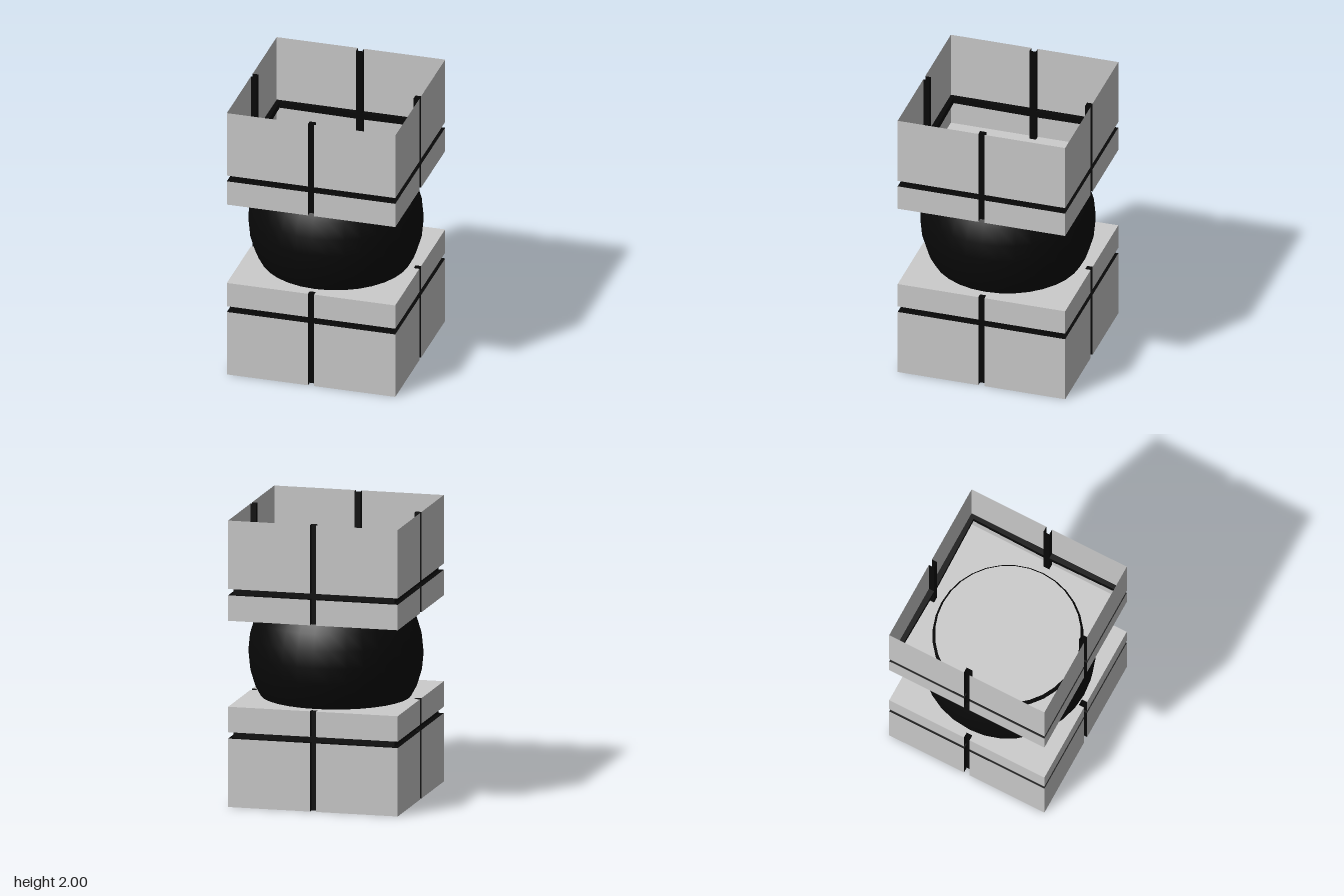
import * as THREE from 'three';

const H = 0.6;      // half width of a cup
const W = 0.022;    // half width of the grooves
const CORNER = 0.57, MID = 0.56; // groove floor at the corners and mid-side
const PLATE = 0.3, SEAM = 0.5, RIM = 1; // heights above the ball's centre

const grey = new THREE.MeshStandardMaterial({ color: 0xcccccc, side: THREE.DoubleSide });
const black = new THREE.MeshStandardMaterial({ color: 0x080808, side: THREE.DoubleSide });

// flat four-cornered panels joined into one mesh
function panels(name, material, quads) {
  const pos = [];
  for (const [a, b, c, d] of quads) pos.push(...a, ...b, ...c, ...a, ...c, ...d);
  const geo = new THREE.BufferGeometry();
  geo.setAttribute('position', new THREE.Float32BufferAttribute(pos, 3));
  geo.computeVertexNormals();
  const mesh = new THREE.Mesh(geo, material);
  mesh.name = name;
  return mesh;
}

// upright rectangle between two (x, z) points
const upright = (x0, z0, x1, z1, y0, y1) =>
  [[x0, y0, z0], [x1, y0, z1], [x1, y1, z1], [x0, y1, z0]];

// one side of a cup: four wall panels divided by a cross of grooves
function cupSide() {
  const side = new THREE.Group();
  side.name = 'cupSide';
  const walls = [];
  const grooves = [upright(-W, MID, W, MID, PLATE, RIM)];
  const bands = [[PLATE, SEAM - W], [SEAM + W, RIM]];
  for (const s of [1, -1]) {
    for (const [y0, y1] of bands) {
      walls.push(upright(s * W, H, s * H, H, y0, y1));
      grooves.push(upright(s * W, MID, s * W, H, y0, y1));
    }
    // horizontal groove floor and its two ledges
    grooves.push(upright(s * W, MID, s * CORNER, CORNER, SEAM - W, SEAM + W));
    for (const y of [SEAM - W, SEAM + W]) {
      grooves.push([[s * W, y, H], [s * H, y, H], [s * CORNER, y, CORNER], [s * W, y, MID]]);
    }
  }
  side.add(panels('wallPanels', grey, walls), panels('grooves', black, grooves));
  return side;
}

// square plate, notched mid-side, with a round hole for the ball
function cupPlate() {
  const pts = [];
  for (let i = 0; i < 4; i++) {
    const turn = new THREE.Vector2();
    for (const [x, y] of [[-H, H], [-W, H], [-W, MID], [W, MID], [W, H]]) {
      pts.push(new THREE.Vector2(x, y).rotateAround(turn, -i * Math.PI / 2));
    }
  }
  const shape = new THREE.Shape(pts);
  const hole = new THREE.Path();
  hole.absarc(0, 0, 0.51, 0, Math.PI * 2, true);
  shape.holes.push(hole);
  const mesh = new THREE.Mesh(new THREE.ShapeGeometry(shape, 32).rotateX(-Math.PI / 2), grey);
  mesh.position.y = PLATE;
  mesh.name = 'cupPlate';
  return mesh;
}

function cup(name) {
  const group = new THREE.Group();
  group.name = name;
  for (let i = 0; i < 4; i++) {
    const side = cupSide();
    side.rotation.y = i * Math.PI / 2;
    group.add(side);
  }
  // flat cap of the ball, just inside the cup
  const cap = new THREE.Mesh(
    new THREE.CircleGeometry(0.6 * Math.sin(5 * Math.PI / 16), 32).rotateX(-Math.PI / 2), grey);
  cap.position.y = 0.6 * Math.cos(5 * Math.PI / 16);
  cap.name = 'ballCap';
  group.add(cupPlate(), cap);
  group.position.y = 1;
  return group;
}

export function createModel() {
  const model = new THREE.Group();
  model.name = 'doubleCup';

  const upper = cup('upperCup');
  const lower = cup('lowerCup');
  lower.rotation.x = Math.PI;

  // ball with both poles cut off
  const ball = new THREE.Mesh(
    new THREE.SphereGeometry(0.6, 32, 6, 0, Math.PI * 2, 5 * Math.PI / 16, 6 * Math.PI / 16), black);
  ball.position.y = 1;
  ball.name = 'ball';

  model.add(upper, lower, ball);
  return model;
}
